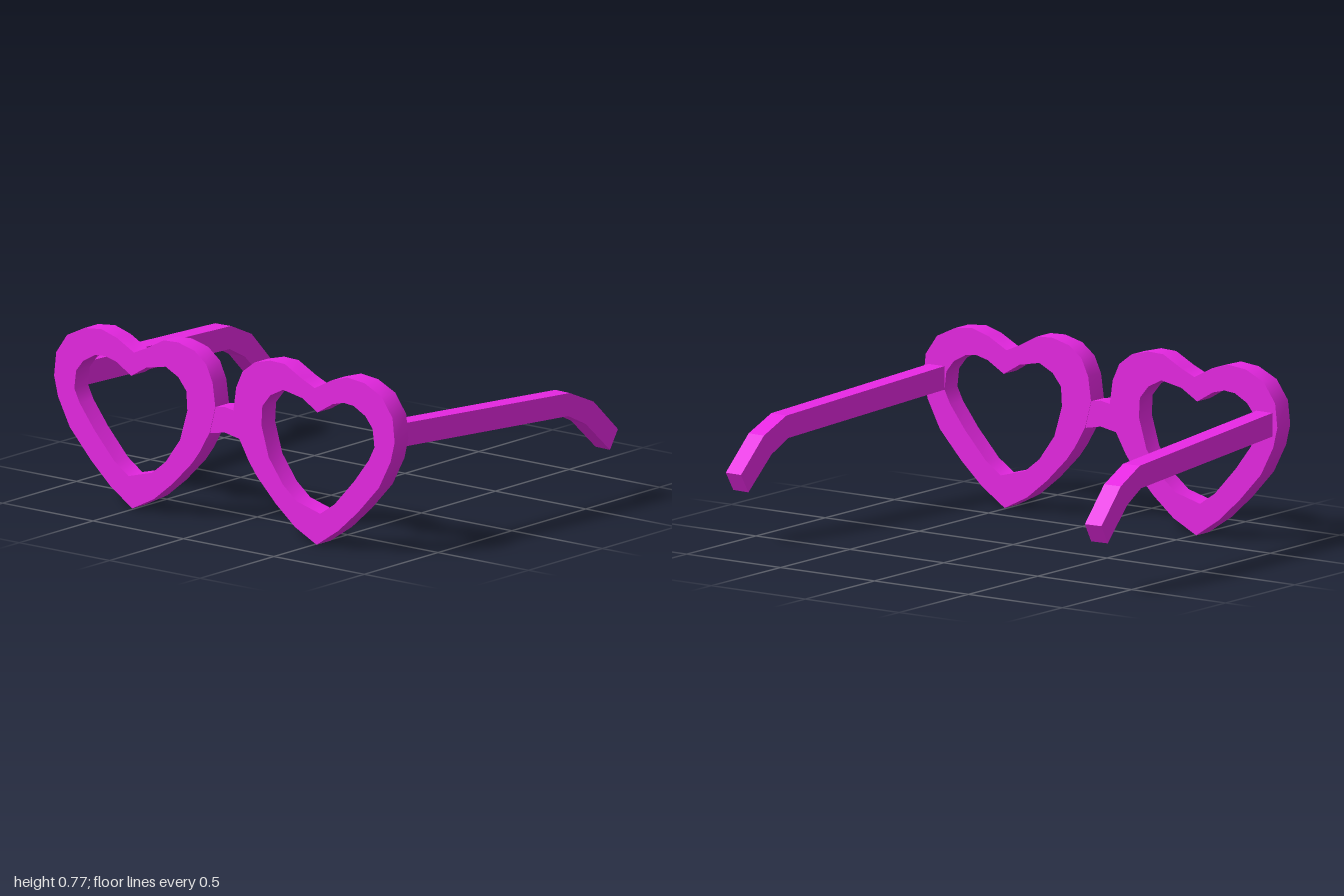
import * as THREE from 'three';
import { toCreasedNormals } from 'three/addons/utils/BufferGeometryUtils.js';

const FRONT = 0.723, BACK = 0.63;

// Heart outlines of the rim on the +x side, counter-clockwise
const OUTER = [
  [0.51, 0], [0.63, 0.08], [0.74, 0.18], [0.855, 0.305], [0.92, 0.43], [0.942, 0.52],
  [0.93, 0.625], [0.87, 0.71], [0.775, 0.755], [0.68, 0.765], [0.595, 0.74], [0.5, 0.69],
  [0.43, 0.72], [0.335, 0.77], [0.255, 0.773], [0.165, 0.75], [0.1, 0.7], [0.065, 0.625],
  [0.05, 0.52], [0.08, 0.405], [0.135, 0.31], [0.18, 0.25], [0.285, 0.145], [0.39, 0.06],
];
const INNER = [
  [0.53, 0.14], [0.61, 0.195], [0.72, 0.315], [0.8, 0.42], [0.83, 0.48], [0.82, 0.56],
  [0.78, 0.61], [0.715, 0.645], [0.66, 0.65], [0.6, 0.635], [0.515, 0.585], [0.43, 0.635],
  [0.325, 0.655], [0.255, 0.62], [0.21, 0.565], [0.205, 0.48], [0.245, 0.345], [0.325, 0.235],
  [0.4, 0.175],
];
const BRIDGE = [
  [-0.08, 0.4], [0, 0.415], [0.08, 0.4], [0.06, 0.518], [0, 0.528], [-0.06, 0.518],
];
// Side profile of a temple arm: z measured from the back of the rim, y
const ARM = [
  [0.02, 0.583], [-1.05, 0.525], [-1.2, 0.46], [-1.353, 0.311],
  [-1.303, 0.228], [-1.15, 0.37], [-1.04, 0.425], [0.02, 0.48],
];

// Mirroring flips the winding, so the order is turned round again
function points(list, side = 1) {
  const result = list.map(([x, y]) => new THREE.Vector2(x * side, y));
  return side < 0 ? result.reverse() : result;
}

function extrude(shape, depth) {
  return new THREE.ExtrudeGeometry(shape, { depth, bevelEnabled: false });
}

export function createModel() {
  const group = new THREE.Group();
  const plastic = new THREE.MeshStandardMaterial({ color: 0xe627e2 });

  const add = (name, geometry, crease) => {
    const mesh = new THREE.Mesh(toCreasedNormals(geometry, crease), plastic);
    mesh.name = name;
    group.add(mesh);
    return mesh;
  };

  for (const [label, side] of [['left', 1], ['right', -1]]) {
    // Heart-shaped rim
    const heart = new THREE.Shape(points(OUTER, side));
    heart.holes.push(new THREE.Path(points(INNER, side)));
    add(label + 'Rim', extrude(heart, FRONT - BACK), 0.95).position.z = BACK;

    // Temple arm, splayed outward toward its bent tip
    const width = 0.085;
    const arm = extrude(new THREE.Shape(points(ARM)), width)
      .translate(0, 0, -width / 2)
      .rotateY(-Math.PI / 2);
    const temple = add(label + 'Temple', arm, 0.2);
    temple.position.set(0.873 * side, 0, BACK);
    temple.rotation.y = -0.0627 * side;
  }

  // Nose bridge
  const bridge = extrude(new THREE.Shape(points(BRIDGE)), FRONT - BACK - 0.004);
  add('bridge', bridge, 0.6).position.z = BACK + 0.002;

  return group;
}
